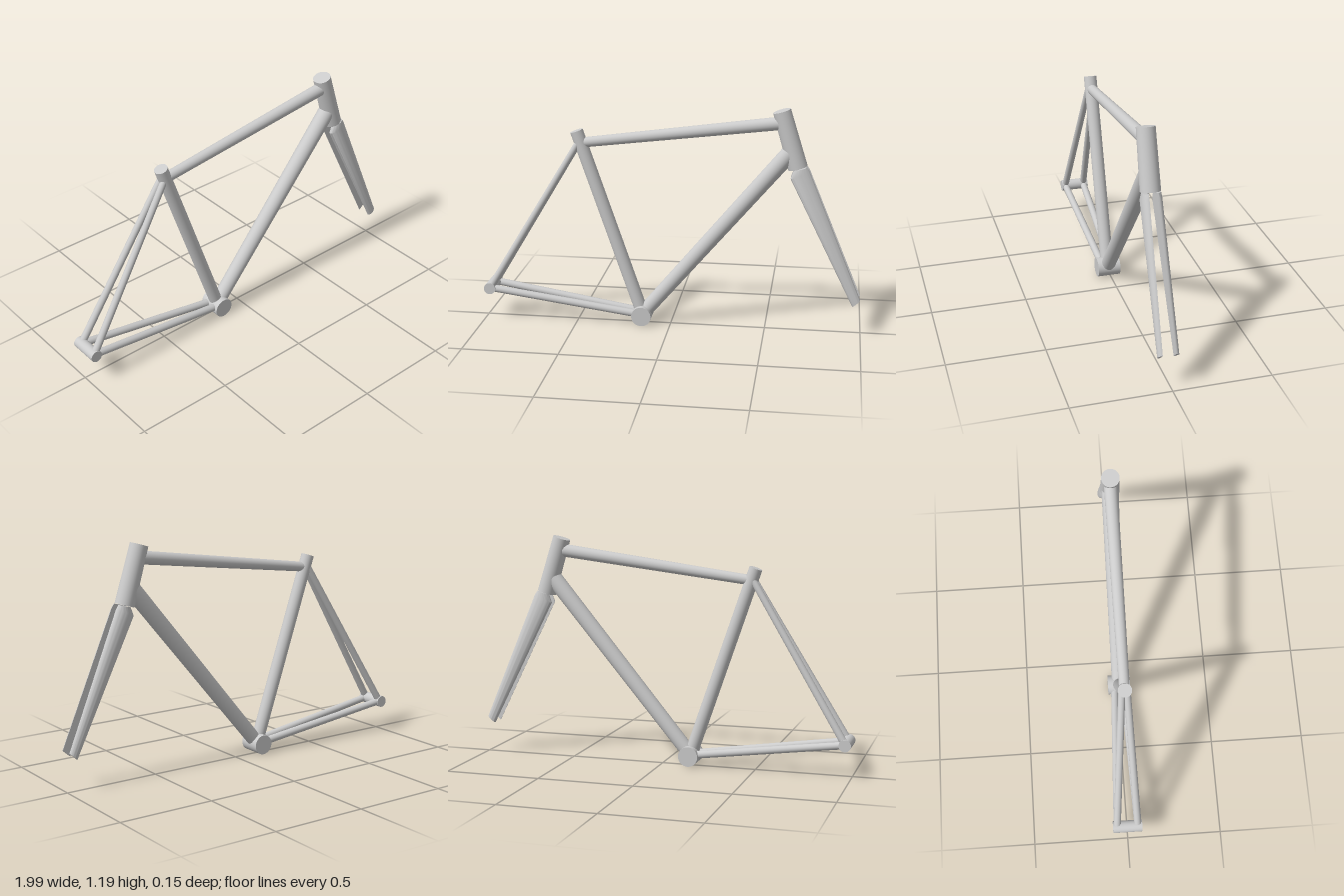
import * as THREE from 'three';
import { toCreasedNormals } from 'three/addons/utils/BufferGeometryUtils.js';

const material = new THREE.MeshStandardMaterial({ color: 0xcccccc });
const UP = new THREE.Vector3(0, 1, 0);

// Capped round tube from a to b with a radius at each end
function tube(name, a, b, ra, rb = ra) {
  const start = new THREE.Vector3(...a);
  const end = new THREE.Vector3(...b);
  const axis = end.clone().sub(start);
  const mesh = new THREE.Mesh(new THREE.CylinderGeometry(rb, ra, axis.length(), 40), material);
  mesh.name = name;
  mesh.position.copy(start).add(end).multiplyScalar(0.5);
  mesh.quaternion.setFromUnitVectors(UP, axis.normalize());
  return mesh;
}

// Fork blade: half-ellipse sections, flat on the inner side, tapering downward
function forkBlade(name, side) {
  const midZ = 0.017, steps = 20, n = steps + 1;
  // rear edge x, y; front edge x, y; inner and outer distance from the mid-plane
  const sections = [
    [0.632, 0.875, 0.697, 0.892, 0.02, 0.047],
    [0.616, 0.83, 0.711, 0.872, 0.021, 0.052],
    [0.952, 0.163, 0.992, 0.2, 0.033, 0.053],
  ];
  const positions = [], index = [];
  for (const [rx, ry, fx, fy, inner, outer] of sections) {
    for (let j = 0; j < n; j++) {
      const t = (j / steps) * Math.PI;
      const k = (1 + Math.cos(t)) / 2;
      positions.push(
        rx + (fx - rx) * k,
        ry + (fy - ry) * k,
        midZ + side * (inner + (outer - inner) * Math.sin(t)),
      );
    }
  }
  const face = (a, b, c) => (side > 0 ? index.push(a, b, c) : index.push(a, c, b));
  for (let i = 0; i < sections.length - 1; i++) {
    for (let j = 0; j < n; j++) {
      const a = i * n + j, b = i * n + ((j + 1) % n);
      face(a, b, b + n);
      face(a, b + n, a + n);
    }
  }
  // End caps
  const last = (sections.length - 1) * n;
  for (let j = 1; j < n - 1; j++) {
    face(0, j + 1, j);
    face(last, last + j, last + j + 1);
  }
  const geometry = new THREE.BufferGeometry();
  geometry.setAttribute('position', new THREE.Float32BufferAttribute(positions, 3));
  geometry.setIndex(index);
  const mesh = new THREE.Mesh(toCreasedNormals(geometry, Math.PI / 5), material);
  mesh.name = name;
  return mesh;
}

export function createModel() {
  const group = new THREE.Group();
  group.name = 'bicycleFrame';

  // Main triangle
  group.add(
    tube('headTube', [0.651, 0.883, 0.016], [0.563, 1.173, 0.016], 0.05, 0.046),
    tube('seatTube', [-0.15, 0.052, 0.012], [-0.488, 1.038, 0.014], 0.034),
    tube('topTube', [-0.465, 0.976, 0.014], [0.575, 1.111, 0.016], 0.026, 0.034),
    tube('downTube', [-0.142, 0.06, 0.011], [0.615, 0.965, 0.016], 0.038, 0.044),
  );

  // Crank shell and rear axle, both across the frame
  group.add(
    tube('bottomBracket', [-0.15, 0.052, -0.05], [-0.15, 0.052, 0.072], 0.052),
    tube('rearAxle', [-0.969, 0.171, -0.077], [-0.969, 0.171, 0.077], 0.031),
  );

  // Paired stays and fork blades
  for (const [label, side] of [['left', -1], ['right', 1]]) {
    const rear = [-0.969, 0.171, side * 0.055];
    group.add(
      tube(label + 'SeatStay', rear, [-0.476, 0.98, 0.013 + side * 0.013], 0.019, 0.017),
      tube(label + 'ChainStay', rear, [-0.16, 0.055, 0.012 + side * 0.025], 0.019, 0.02),
      forkBlade(label + 'ForkBlade', side),
    );
  }
  return group;
}
